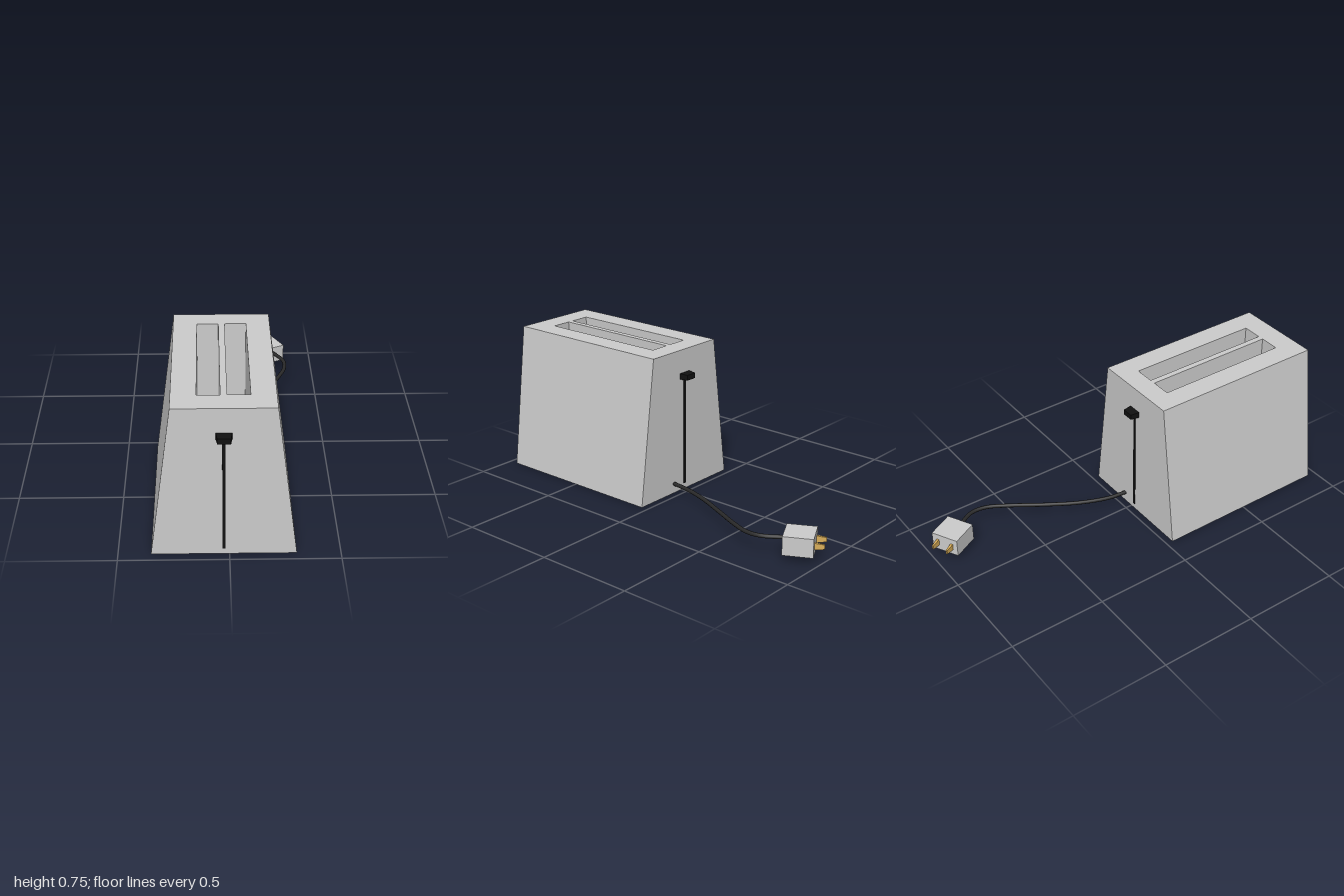
import * as THREE from 'three';

const grey = new THREE.MeshStandardMaterial({ color: 0xcccccc, flatShading: true });
const greyInner = new THREE.MeshStandardMaterial({ color: 0xcccccc, flatShading: true, side: THREE.DoubleSide });
const black = new THREE.MeshStandardMaterial({ color: 0x111111, flatShading: true });
const cordBlack = new THREE.MeshStandardMaterial({ color: 0x2a2a2a });
const brass = new THREE.MeshStandardMaterial({ color: 0xd9ae5a, flatShading: true });

const CX = -0.025, CZ = 0.495;       // body centre
const HEIGHT = 0.748, DEPTH = 0.92;
const BOTTOM_W = 0.654, TOP_W = 0.46;

function add(parent, name, geometry, material, x = 0, y = 0, z = 0) {
  const mesh = new THREE.Mesh(geometry, material);
  mesh.name = name;
  mesh.position.set(x, y, z);
  parent.add(mesh);
  return mesh;
}

// Box without its top face
function openBox(w, h, d) {
  const g = new THREE.BoxGeometry(w, h, d);
  const index = Array.from(g.index.array);
  index.splice(12, 6);
  g.setIndex(index);
  g.clearGroups();
  return g;
}

// Scale the vertices on the positive side of one axis
function taper(g, axis, scale) {
  const p = g.attributes.position, v = new THREE.Vector3();
  for (let i = 0; i < p.count; i++) {
    v.fromBufferAttribute(p, i);
    if (v[axis] > 0) v.multiply(scale);
    p.setXYZ(i, v.x, v.y, v.z);
  }
  g.computeVertexNormals();
  return g;
}

function rectangle(path, x0, x1, y0, y1) {
  path.moveTo(x0, y0);
  path.lineTo(x1, y0);
  path.lineTo(x1, y1);
  path.lineTo(x0, y1);
  path.closePath();
  return path;
}

export function createModel() {
  const model = new THREE.Group();
  model.name = 'toaster';

  // Tapered shell with a slotted top
  const body = new THREE.Group();
  body.name = 'body';
  body.position.set(CX, 0, CZ);
  model.add(body);
  const shell = taper(openBox(BOTTOM_W, HEIGHT, DEPTH), 'y', new THREE.Vector3(TOP_W / BOTTOM_W, 1, 1));
  add(body, 'shell', shell, grey, 0, HEIGHT / 2, 0);

  const top = rectangle(new THREE.Shape(), -TOP_W / 2, TOP_W / 2, -DEPTH / 2, DEPTH / 2);
  const slotW = 0.102, slotD = 0.695, slotH = 0.6, slotZ = -0.006;
  for (const side of [-1, 1]) {
    const x = side * 0.066;
    top.holes.push(rectangle(new THREE.Path(), x - slotW / 2, x + slotW / 2, -slotZ - slotD / 2, -slotZ + slotD / 2));
    add(body, 'breadSlot', openBox(slotW, slotH, slotD), greyInner, x, HEIGHT - slotH / 2, slotZ);
  }
  add(body, 'topPlate', new THREE.ShapeGeometry(top).rotateX(-Math.PI / 2), grey, 0, HEIGHT, 0);

  // Lever and its track on both ends
  for (const turn of [0, Math.PI]) {
    const lever = new THREE.Group();
    lever.name = turn ? 'backLever' : 'frontLever';
    lever.rotation.y = turn;
    body.add(lever);
    add(lever, 'track', new THREE.BoxGeometry(0.015, 0.575, 0.006), black, 0, 0.3175, DEPTH / 2);
    const knob = taper(new THREE.BoxGeometry(0.071, 0.03, 0.045), 'z', new THREE.Vector3(0.83, 0.9, 1));
    add(lever, 'knob', knob, black, 0, 0.613, DEPTH / 2 + 0.0225);
  }

  // Power cord
  const path = new THREE.CatmullRomCurve3([
    [0.055, 0.05, 0.045], [0.07, 0.05, -0.065], [0.12, 0.055, -0.21], [0.2, 0.065, -0.37],
    [0.294, 0.08, -0.545], [0.336, 0.088, -0.645], [0.336, 0.092, -0.725], [0.28, 0.094, -0.825],
  ].map((p) => new THREE.Vector3(...p)));
  add(model, 'cord', new THREE.TubeGeometry(path, 64, 0.01, 10), cordBlack);

  // Plug with two prongs
  const plug = new THREE.Group();
  plug.name = 'plug';
  plug.position.set(0.246, 0.0815, -0.882);
  plug.rotation.y = 0.48;
  model.add(plug);
  add(plug, 'plugBody', new THREE.BoxGeometry(0.145, 0.093, 0.143), grey);
  for (const side of [-1, 1]) {
    const prong = taper(new THREE.BoxGeometry(0.014, 0.034, 0.05), 'z', new THREE.Vector3(0.6, 0.65, 1));
    add(plug, 'prong', prong, brass, side * 0.04, 0, -0.093).rotation.y = Math.PI;
  }

  return model;
}
